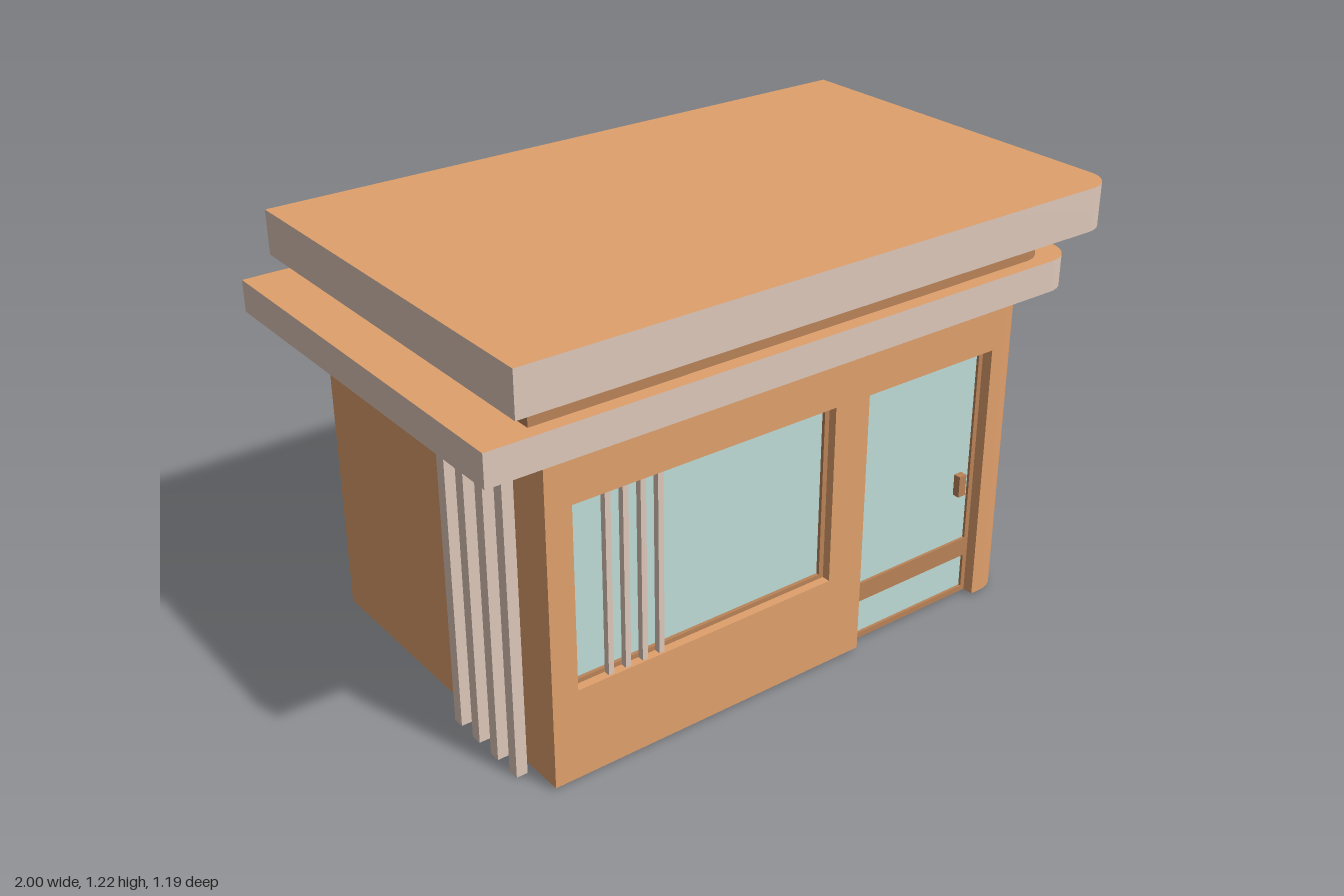
import * as THREE from 'three';
import { toCreasedNormals } from 'three/addons/utils/BufferGeometryUtils.js';

const paint = (color) => new THREE.MeshStandardMaterial({ color });

export function createModel() {
  const model = new THREE.Group();
  const orange = paint(0xe0a06c), trim = paint(0xdec8ba), brown = paint(0xba8458), glass = paint(0xbfdcd8);

  const add = (name, geometry, material, parent = model) => {
    const mesh = new THREE.Mesh(geometry, material);
    mesh.name = name;
    parent.add(mesh);
    return mesh;
  };
  const box = (name, x0, x1, y0, y1, z0, z1, material, parent) =>
    add(name, new THREE.BoxGeometry(x1 - x0, y1 - y0, z1 - z0), material, parent)
      .position.set((x0 + x1) / 2, (y0 + y1) / 2, (z0 + z1) / 2);

  // Plan outline with one rounded corner at front left; step sets part of the front back
  const plan = (x0, x1, zBack, zFront, r, step) => {
    const s = new THREE.Shape();
    s.moveTo(x0, -zBack);
    if (step) {
      s.lineTo(x0, -step.z);
      s.lineTo(step.x, -step.z);
      s.lineTo(step.x, -zFront);
    } else s.lineTo(x0, -zFront);
    s.lineTo(x1 - r, -zFront);
    s.absarc(x1 - r, -zFront + r, r, -Math.PI / 2, 0, false);
    s.lineTo(x1, -zBack);
    s.closePath();
    return s;
  };
  const slab = (name, shape, y0, y1, material) => {
    const g = new THREE.ExtrudeGeometry(shape, { depth: y1 - y0, bevelEnabled: false, curveSegments: 14 });
    g.rotateX(-Math.PI / 2);
    g.translate(0, y0, 0);
    return add(name, toCreasedNormals(g, 0.5), material);
  };

  // Upright panel in the front plane with rectangular openings
  const rect = (Type, [x0, x1, y0, y1]) => new Type([
    new THREE.Vector2(x0, y0), new THREE.Vector2(x1, y0), new THREE.Vector2(x1, y1), new THREE.Vector2(x0, y1)]);
  const panel = (name, shape, holes, z0, z1, material, parent) => {
    holes.forEach((h) => shape.holes.push(rect(THREE.Path, h)));
    const g = new THREE.ExtrudeGeometry(shape, { depth: z1 - z0, bevelEnabled: false });
    g.translate(0, 0, z0);
    return add(name, g, material, parent);
  };

  // Building body: set-back core and a front wall with window and door openings
  const base = 0.008, front = 0.53, inner = 0.48;
  slab('bodyCore', plan(-0.81, 0.76, -0.53, front, 0.085, { x: 0.66, z: inner }), base, 0.95, orange);
  const wall = new THREE.Shape([
    [-0.81, base], [0.19, base], [0.19, 0.79], [0.64, 0.79], [0.64, base], [0.66, base], [0.66, 0.95], [-0.81, 0.95],
  ].map(([x, y]) => new THREE.Vector2(x, y)));
  panel('frontWall', wall, [[-0.735, 0.075, 0.27, 0.79]], inner, front, orange);

  // Two stacked roof slabs with a neck between them
  slab('lowerRoof', plan(-1, 0.865, -0.595, 0.595, 0.09), 0.95, 1.04, [orange, trim]);
  slab('roofNeck', plan(-0.86, 0.80, -0.555, 0.555, 0.085), 1.04, 1.09, brown);
  slab('upperRoof', plan(-0.915, 1, -0.595, 0.595, 0.09), 1.09, 1.215, [orange, trim]);

  // Shop window with a few upright bars
  const windowGroup = new THREE.Group();
  windowGroup.name = 'shopWindow';
  model.add(windowGroup);
  panel('windowFrame', rect(THREE.Shape, [-0.735, 0.075, 0.27, 0.79]), [[-0.72, 0.06, 0.283, 0.777]], inner, 0.505, brown, windowGroup);
  box('windowGlass', -0.725, 0.065, 0.278, 0.782, inner, 0.495, glass, windowGroup);
  for (let i = 0; i < 4; i++) {
    const x = -0.633 + i * 0.0515;
    box('windowBar', x - 0.008, x + 0.008, 0.272, 0.788, 0.508, 0.526, trim, windowGroup);
  }

  // Door with two panes and a handle
  const door = new THREE.Group();
  door.name = 'door';
  model.add(door);
  panel('doorFrame', rect(THREE.Shape, [0.19, 0.64, base, 0.79]),
    [[0.207, 0.625, 0.188, 0.77], [0.207, 0.625, 0.025, 0.13]], inner, 0.498, brown, door);
  box('upperPane', 0.2, 0.63, 0.18, 0.775, inner, 0.49, glass, door);
  box('lowerPane', 0.2, 0.63, 0.02, 0.14, inner, 0.49, glass, door);
  box('doorHandle', 0.572, 0.598, 0.345, 0.41, 0.488, 0.512, brown, door);

  // Rows of four slender posts under the roof overhangs
  const posts = (name, x, zFirst, top) => {
    const row = new THREE.Group();
    row.name = name;
    model.add(row);
    for (let i = 0; i < 4; i++) {
      const z = zFirst - i * 0.0885;
      box('post', x - 0.016, x + 0.016, 0, top, z - 0.017, z + 0.017, trim, row);
    }
  };
  posts('leftPosts', 0.953, -0.277, 1.09);
  posts('rightPosts', -0.844, 0.411, 0.95);

  return model;
}
